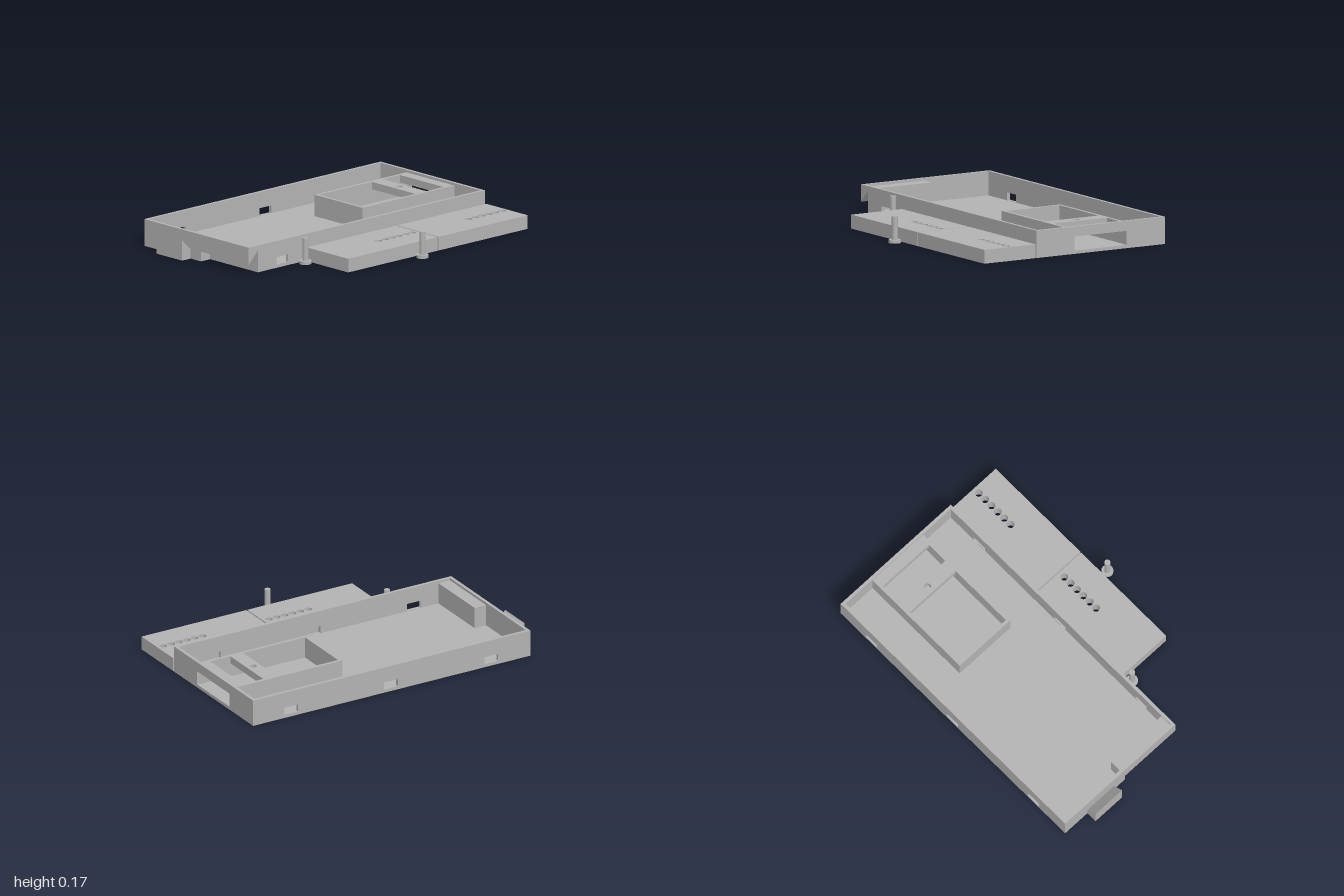
import * as THREE from 'three';

const grey = new THREE.MeshStandardMaterial({ color: 0xb2b2b2 });
grey.name = 'grey plastic';

// Main dimensions
const X0 = -0.93, X1 = 1, Z0 = -0.683, Z1 = 0.225, H = 0.165, T = 0.02, FLOOR = 0.018;

const poly = (pts) => new THREE.Shape(pts.map(([x, y]) => new THREE.Vector2(x, y)));
const rectPts = (x0, y0, x1, y1) => [[x0, y0], [x1, y0], [x1, y1], [x0, y1]];
const rect = (...r) => poly(rectPts(...r));
const circle = (x, y, r) => new THREE.Path().absarc(x, y, r, 0, Math.PI * 2, true);

function add(parent, name, geometry) {
  const mesh = new THREE.Mesh(geometry, grey);
  mesh.name = name;
  parent.add(mesh);
  return mesh;
}

function extrude(shape, depth, holes = []) {
  shape.holes.push(...holes);
  return new THREE.ExtrudeGeometry(shape, { depth, bevelEnabled: false, curveSegments: 24 });
}

// Shape in x / -z, raised from y0 to y1
const plan = (shape, y0, y1, holes) =>
  extrude(shape, y1 - y0, holes).rotateX(-Math.PI / 2).translate(0, y0, 0);

// Shape in x / y, running from z0 to z1
const along = (shape, z0, z1, holes) => extrude(shape, z1 - z0, holes).translate(0, 0, z0);

// Block between two corners
const block = (x0, x1, y0, y1, z0, z1) =>
  new THREE.BoxGeometry(x1 - x0, y1 - y0, z1 - z0)
    .translate((x0 + x1) / 2, (y0 + y1) / 2, (z0 + z1) / 2);

function buildTray() {
  const tray = new THREE.Group();
  tray.name = 'tray';
  const slots = () => [-0.657, 0.04, 0.735].map((x) => rect(x - 0.048, 0.02, x + 0.048, 0.066));

  // Floor, cut away at the corner pocket
  add(tray, 'floor', plan(poly([
    [X0 + T, -Z0 - T], [X0 + T, 0.21], [-0.83, 0.21], [-0.83, T - Z1], [X1 - T, T - Z1], [X1 - T, -Z0 - T],
  ]), 0, FLOOR));

  // Long walls with slots; the front one has the pocket mouth
  add(tray, 'backWall', along(rect(X0, 0, X1, H), Z0, Z0 + T, slots()));
  add(tray, 'frontWall', along(poly([
    [X0, H], [X0, 0.06], [-0.855, 0.135], [-0.855, 0], [X1, 0], [X1, H],
  ]), Z1 - T, Z1, slots()));

  // Left side wall with port window
  add(tray, 'leftWall', extrude(rect(T - Z1, 0, -Z0 - T, H), T, [rect(0.042, 0.02, 0.41, 0.105)])
    .rotateY(Math.PI / 2).translate(X1 - T, 0, 0));

  // Right side wall, running into the slanted pocket
  add(tray, 'rightWall', block(X0, X0 + T, 0, H, Z0 + T, -0.19));
  add(tray, 'pocketEnd', block(X0 + T, -0.83, 0, 0.15, -0.21, -0.19));
  add(tray, 'pocket', along(poly([
    [X0, H], [X0, 0.06], [-0.855, 0.135], [-0.855, 0], [-0.83, 0], [-0.83, 0.15], [X0 + T, 0.15], [X0 + T, H],
  ]), -0.19, Z1 - T));

  // Slanted hook on the outside
  add(tray, 'hook', along(poly([[X0, 0], [X0, 0.055], [-1, 0.125], [-1, 0]]), -0.5, -0.28));
  return tray;
}

function buildCompartment() {
  const box = new THREE.Group();
  box.name = 'compartment';
  const top = 0.15, under = 0.105;
  // Side walls
  add(box, 'innerWall', block(0.23, 0.25, FLOOR, under, -0.44, -0.022));
  for (const z of [-0.44, -0.042]) add(box, 'sideWall', block(0.25, X1 - T, FLOOR, under, z, z + T));
  // Top frame with two openings and a bridge with a screw hole
  add(box, 'topFrame', plan(rect(0.23, 0.022, X1 - T, 0.44), under, top, [
    rect(0.25, 0.042, 0.68, 0.42), rect(0.77, 0.042, 0.91, 0.42), circle(0.725, 0.231, 0.021),
  ]));
  return box;
}

export function createModel() {
  const model = new THREE.Group();
  model.name = 'enclosureParts';
  model.add(buildTray(), buildCompartment());

  // Two cover plates with a row of round holes
  for (const [x0, x1, first] of [[-0.465, 0.264, -0.05], [0.272, 1, 0.685]]) {
    const holes = Array.from({ length: 6 }, (_, i) => circle(first + i * 0.0547, -0.415, 0.023));
    add(model, 'coverPlate', plan(rect(x0, -0.595, x1, -0.234), 0, 0.084, holes));
  }

  // Two pins standing on their heads
  for (const [x, z] of [[-0.51, 0.27], [0.093, 0.645]]) {
    const pin = new THREE.Group();
    pin.name = 'pin';
    add(pin, 'pinHead', new THREE.CylinderGeometry(0.036, 0.036, 0.02, 32).translate(0, 0.01, 0));
    add(pin, 'pinShaft', new THREE.CylinderGeometry(0.018, 0.018, 0.14, 32).translate(0, 0.09, 0));
    pin.position.set(x, 0, z);
    model.add(pin);
  }
  return model;
}
